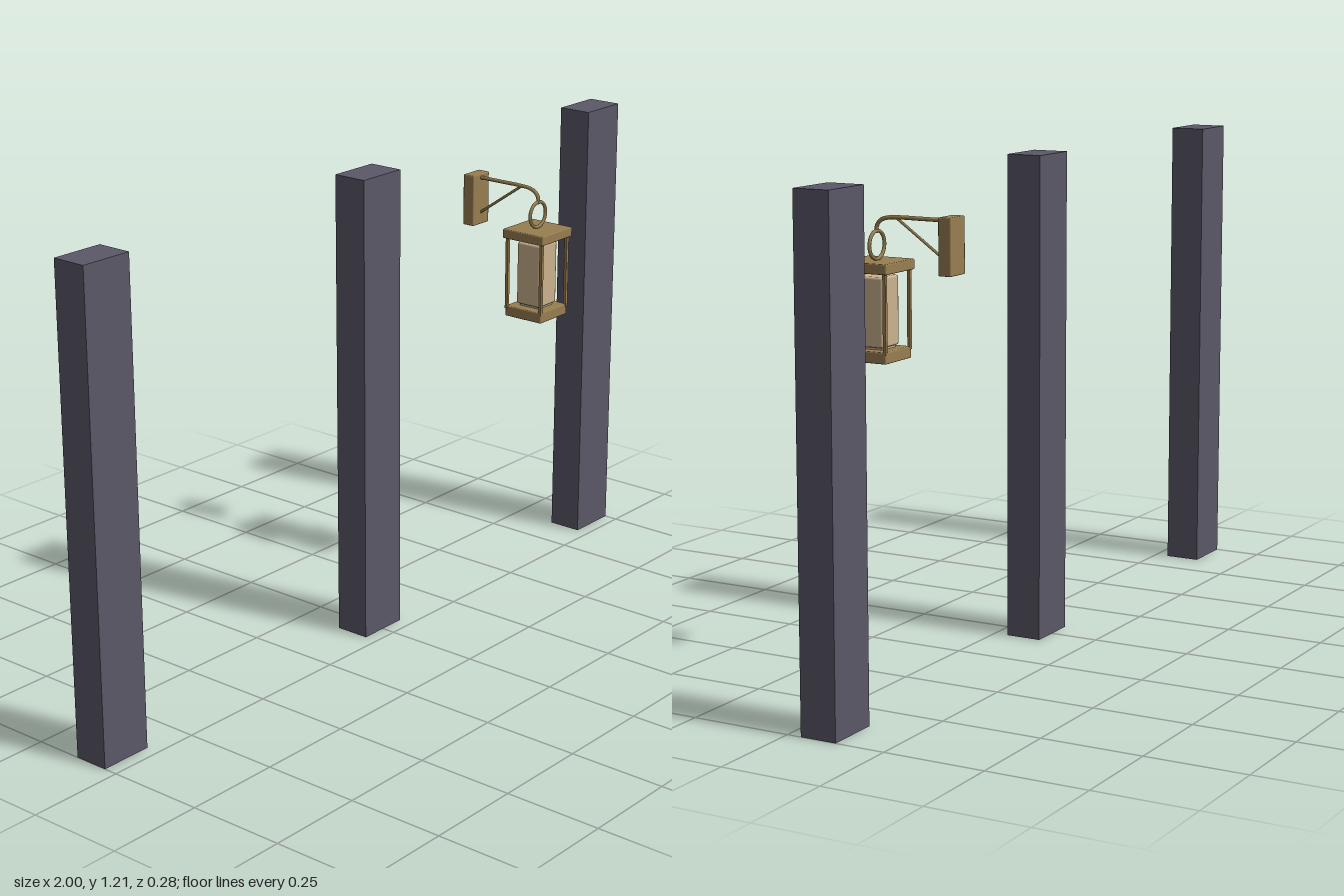
import * as THREE from 'three';
import { RoundedBoxGeometry } from 'three/addons/geometries/RoundedBoxGeometry.js';

export function createModel() {
  const model = new THREE.Group();
  const material = (name, color) => {
    const m = new THREE.MeshStandardMaterial({ color });
    m.name = name;
    return m;
  };
  const stone = material('slate pillar', 0x5b5868);
  const brass = material('aged brass', 0x977e50);
  const glass = material('warm glass', 0xcbb28f);

  const add = (parent, name, geometry, mat, x, y, z) => {
    const mesh = new THREE.Mesh(geometry, mat);
    mesh.name = name;
    mesh.position.set(x, y, z);
    parent.add(mesh);
    return mesh;
  };
  // Box with slightly eased edges
  const eased = (w, h, d, r = 0.003) => new RoundedBoxGeometry(w, h, d, 1, r);

  // Row of pillars
  for (const x of [-0.931, 0, 0.931]) {
    add(model, 'pillar', new THREE.BoxGeometry(0.138, 1.21, 0.091), stone, x, 0.605, -0.081);
  }

  // Wall lantern; local origin on the lantern's vertical axis
  const lantern = new THREE.Group();
  lantern.name = 'lantern';
  lantern.position.set(0.488, 0, 0.077);
  model.add(lantern);

  // Body: cap, base, glass and corner posts
  add(lantern, 'cap', eased(0.128, 0.025, 0.128), brass, 0, 0.979, 0);
  add(lantern, 'base', eased(0.114, 0.028, 0.114), brass, 0, 0.771, 0);
  add(lantern, 'glassSeat', new THREE.BoxGeometry(0.06, 0.012, 0.06), glass, 0, 0.787, 0);
  add(lantern, 'glass', eased(0.074, 0.166, 0.074, 0.006), glass, 0, 0.873, 0);
  for (const x of [-1, 1]) {
    for (const z of [-1, 1]) {
      add(lantern, 'cornerPost', new THREE.BoxGeometry(0.008, 0.194, 0.008), brass, x * 0.054, 0.875, z * 0.054);
    }
  }

  // Hanging ring
  add(lantern, 'ring', new THREE.TorusGeometry(0.033, 0.0045, 8, 28), brass, 0, 1.027, 0);

  // Bracket: wall plate, bent arm and diagonal brace
  add(lantern, 'wallPlate', eased(0.066, 0.135, 0.034), brass, 0, 1.0365, -0.201);
  const arm = new THREE.CatmullRomCurve3([
    [1.094, -0.19], [1.094, -0.12], [1.094, -0.06], [1.091, -0.025],
    [1.083, -0.008], [1.07, 0], [1.055, 0],
  ].map(([y, z]) => new THREE.Vector3(0, y, z)));
  add(lantern, 'arm', new THREE.TubeGeometry(arm, 36, 0.005, 8), brass, 0, 0, 0);
  const brace = new THREE.LineCurve3(new THREE.Vector3(0, 1.092, -0.055), new THREE.Vector3(0, 1.0, -0.187));
  add(lantern, 'brace', new THREE.TubeGeometry(brace, 1, 0.0035, 8), brass, 0, 0, 0);

  return model;
}
